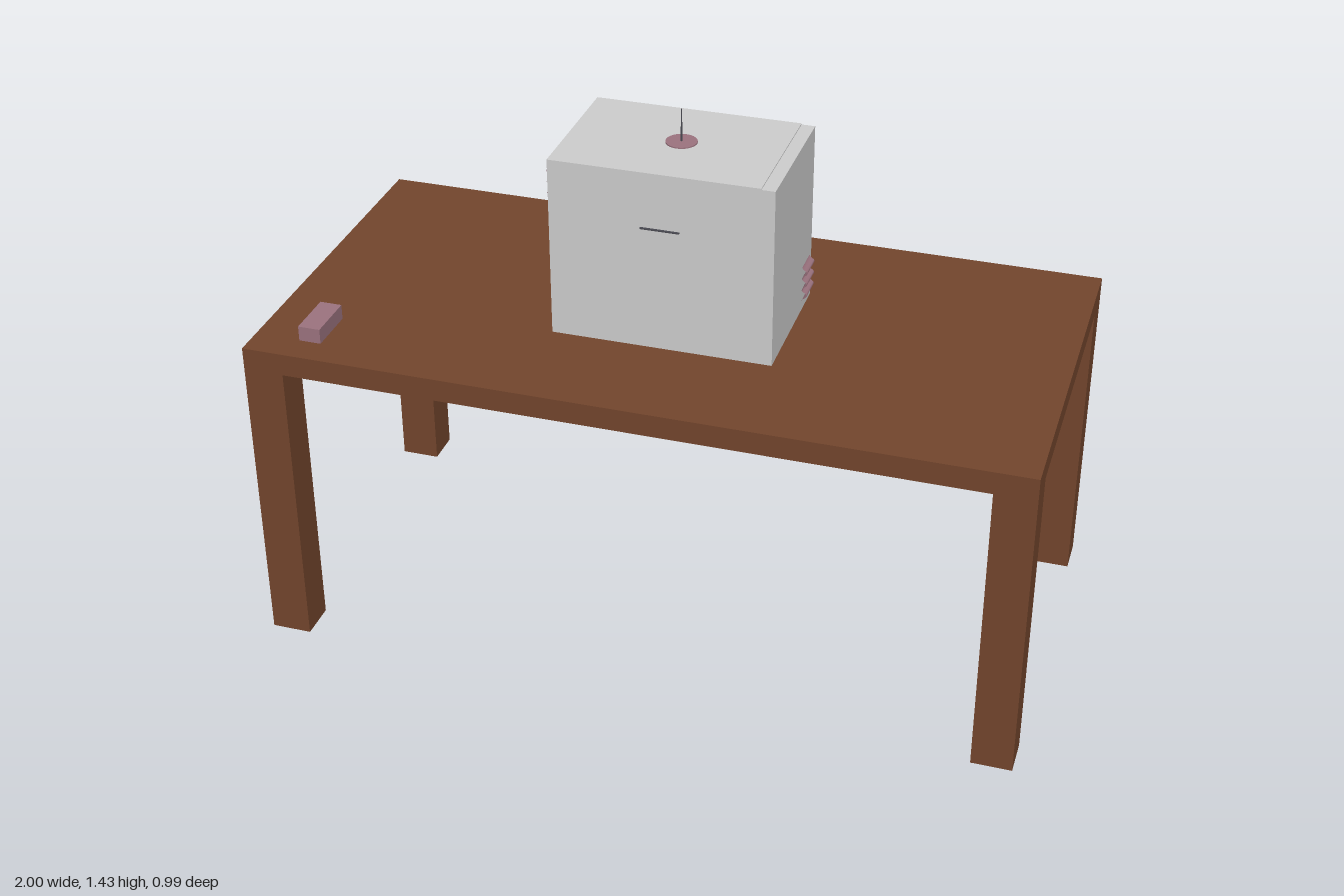
import * as THREE from 'three';

const mat = (name, color) => Object.assign(new THREE.MeshStandardMaterial({ color }), { name });

export function createModel() {
  const wood = mat('brown wood', 0x74462d);
  const shell = mat('light grey casing', 0xcfcfcf);
  const mauve = mat('mauve', 0x9d7480);
  const metal = mat('dark metal', 0x4a4a52);
  mauve.side = THREE.DoubleSide;

  const model = new THREE.Group();
  model.name = 'tableWithCabinet';
  const add = (name, geometry, material, x, y, z) => {
    const mesh = new THREE.Mesh(geometry, material);
    mesh.name = name;
    mesh.position.set(x, y, z);
    model.add(mesh);
    return mesh;
  };
  // Box given by its low and high corners
  const box = (name, material, a, b) => add(name,
    new THREE.BoxGeometry(b[0] - a[0], b[1] - a[1], b[2] - a[2]), material,
    (a[0] + b[0]) / 2, (a[1] + b[1]) / 2, (a[2] + b[2]) / 2);

  // Table
  const topY = 0.865, underY = 0.805;
  box('tableTop', wood, [-1, underY, -0.495], [1, topY, 0.495]);
  for (const sx of [-1, 1]) for (const sz of [-1, 1]) {
    add('tableLeg', new THREE.BoxGeometry(0.105, underY, 0.1), wood,
      sx * 0.9475, underY / 2, sz * 0.445);
  }

  // Cabinet with a separate lid panel leaving a narrow strip at one end
  box('cabinet', shell, [-0.288, topY, -0.19], [0.285, 1.343, 0.19]);
  box('lidPanel', shell, [-0.288, 1.343, -0.19], [0.25, 1.346, 0.19]);
  box('frontHandle', metal, [-0.052, 1.196, 0.19], [0.048, 1.199, 0.196]);

  // Antenna on a flat round base
  add('antennaBase', new THREE.CylinderGeometry(0.04, 0.04, 0.003, 24), mauve, -0.005, 1.3475, 0);
  add('antennaRod', new THREE.CylinderGeometry(0.001, 0.003, 0.09, 8), metal, -0.005, 1.39, 0);

  // Rippled vent sheets, one on each end of the cabinet
  const vent = (name, width, height, side, x, y, z) => {
    const g = new THREE.PlaneGeometry(width, height, 14, 24);
    const p = g.attributes.position;
    for (let i = 0; i < p.count; i++) {
      const v = p.getY(i) / height + 0.5;
      p.setZ(i, 0.008 - 0.007 * Math.cos(v * Math.PI * 6));
    }
    g.computeVertexNormals();
    add(name, g, mauve, x, y, z).rotation.y = side * Math.PI / 2;
  };
  vent('leftVent', 0.074, 0.097, 1, 0.285, 0.943, -0.132);
  vent('rightVent', 0.066, 0.09, -1, -0.288, 1.268, 0.122);

  // Small stud on the right end
  box('stud', metal, [-0.291, 1.287, -0.153], [-0.288, 1.294, -0.146]);

  // Small block lying on the table
  box('tableBlock', mauve, [-0.88, topY, 0.285], [-0.822, 0.905, 0.417]);

  return model;
}
